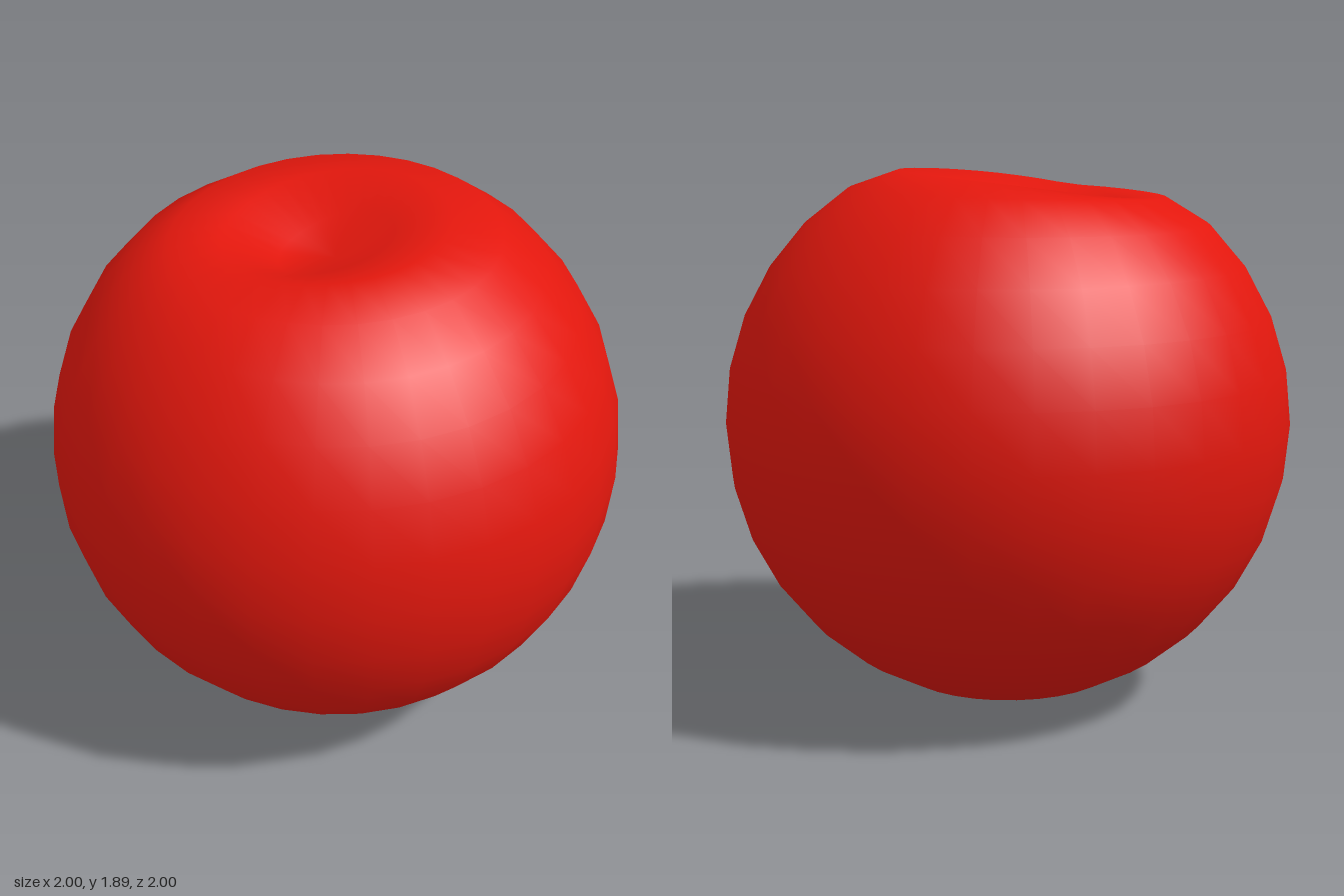
import * as THREE from 'three';
import { mergeVertices } from 'three/addons/utils/BufferGeometryUtils.js';

export function createModel() {
  const model = new THREE.Group();
  model.name = 'fruit';

  // Round body, standing on the ground
  let body = new THREE.SphereGeometry(1, 32, 16);
  body.deleteAttribute('uv');
  body.deleteAttribute('normal');
  body = mergeVertices(body.translate(0, 1, 0), 1e-4);

  // Soft hollow pressed into the top, slightly off centre
  const depth = 0.3, width = 0.33, centreX = -0.08, centreZ = -0.04;
  const p = body.attributes.position;
  for (let i = 0; i < p.count; i++) {
    if (p.getY(i) < 1.3) continue;
    const r = Math.hypot(p.getX(i) - centreX, p.getZ(i) - centreZ);
    p.setY(i, p.getY(i) - depth * Math.exp(-((r / width) ** 2)));
  }
  body.computeVertexNormals();

  const mesh = new THREE.Mesh(body, new THREE.MeshStandardMaterial({ color: 0xe3170d }));
  mesh.name = 'body';
  model.add(mesh);
  return model;
}
